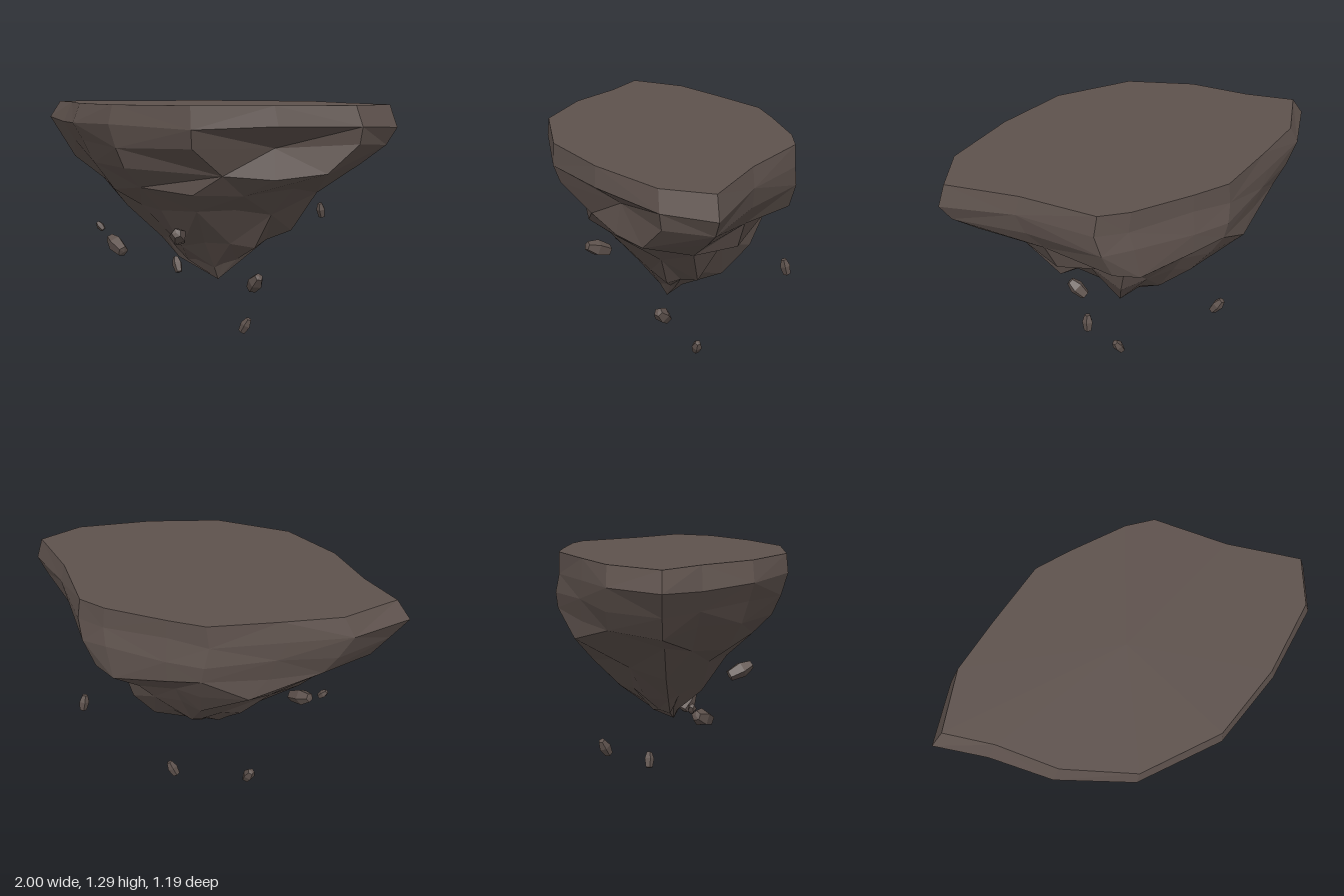
import * as THREE from 'three';

const rockMaterial = new THREE.MeshStandardMaterial({ color: 0x5e524d, flatShading: true, roughness: 1 });

// Widest outline of the island, [x, z], running left, front, right, back
const OUTLINE = [
  [-1, -0.03], [-0.8, 0.14], [-0.59, 0.38], [-0.27, 0.575], [0.17, 0.595],
  [0.54, 0.45], [0.88, 0.24], [1, 0.02], [0.72, -0.23], [0.47, -0.53],
  [0.32, -0.57], [0, -0.58], [-0.2, -0.575], [-0.52, -0.42], [-0.79, -0.28],
];

// Cross-sections from the top down: height, outline scale to each side, roughness of the edge
const SECTIONS = [
  { y: 1.29, left: 0.93, right: 0.96, front: 0.985, back: 0.98, rough: 0 },
  { y: 1.19, left: 1, right: 1, front: 1, back: 0.98, rough: 0.01 },
  { y: 1.09, left: 0.92, right: 0.95, front: 0.95, back: 1.02, rough: 0.01 },
  { y: 0.99, left: 0.84, right: 0.83, front: 0.88, back: 1.01, rough: 0.015 },
  { y: 0.86, left: 0.7, right: 0.61, front: 0.72, back: 0.84, rough: 0.02 },
  { y: 0.74, left: 0.5, right: 0.46, front: 0.5, back: 0.72, rough: 0.025 },
  { y: 0.56, left: 0.28, right: 0.34, front: 0.28, back: 0.48, rough: 0.02 },
  { y: 0.45, left: 0.17, right: 0.2, front: 0.08, back: 0.24, rough: 0.015 },
];
const TIP = [0.07, 0.34, 0.01];

// Main ledges and spikes: [section, column, dx, dy, dz]
const LEDGES = [
  [2, 5, -0.03, -0.01, -0.1], [2, 6, 0.03, 0.03, 0], // inner edge of the right-hand shelf
  [3, 4, 0.12, -0.05, -0.09], [3, 5, 0.05, -0.04, -0.04], [3, 6, 0, -0.02, 0.07], // its outer edge
  [3, 9, 0, -0.05, 0], [3, 10, 0.01, -0.06, -0.01], [4, 12, 0, 0.01, -0.03], [4, 13, 0, 0.04, -0.12], // back lip
  [4, 8, 0.1, -0.03, -0.03], [5, 7, 0, -0.1, -0.06], [5, 8, 0.04, 0, -0.03], [5, 9, 0.06, -0.02, 0], // right spike
  [4, 0, 0, 0.04, 0], [5, 0, 0, -0.05, 0], // left spike
  [5, 4, 0, 0.04, 0.02], [6, 9, 0.06, -0.03, 0], [7, 4, 0.03, -0.05, 0],
];

function makeIsland() {
  const rings = SECTIONS.map((s, r) => OUTLINE.map(([x, z], i) => [
    x * (x < 0 ? s.left : s.right),
    s.y + s.rough * Math.sin(i * 2.3 + r * 1.7),
    z * (z < 0 ? s.back : s.front),
  ]));
  for (const [ring, column, ...offset] of LEDGES) {
    offset.forEach((d, axis) => { rings[ring][column][axis] += d; });
  }
  const positions = [];
  const triangle = (a, b, c) => positions.push(...a, ...b, ...c);
  const n = OUTLINE.length;
  for (let i = 0; i < n; i++) {
    const j = (i + 1) % n;
    triangle([0, SECTIONS[0].y, 0], rings[0][i], rings[0][j]); // flat top
    for (let r = 0; r < rings.length - 1; r++) {
      const a = rings[r][i], b = rings[r + 1][i], c = rings[r + 1][j], d = rings[r][j];
      // alternate the diagonal for a chipped look
      if ((i + r) % 2) {
        triangle(a, b, c);
        triangle(a, c, d);
      } else {
        triangle(a, b, d);
        triangle(b, c, d);
      }
    }
    const last = rings[rings.length - 1];
    triangle(last[i], TIP, last[j]); // pointed underside
  }
  const geometry = new THREE.BufferGeometry();
  geometry.setAttribute('position', new THREE.Float32BufferAttribute(positions, 3));
  geometry.computeVertexNormals();
  const mesh = new THREE.Mesh(geometry, rockMaterial);
  mesh.name = 'islandRock';
  return mesh;
}

// Chipped five-sided stone stretched between two end points
function makeFragment(from, to, radius) {
  const start = new THREE.Vector3(...from), end = new THREE.Vector3(...to);
  const half = start.distanceTo(end) / 2;
  const profile = [[0, -1], [0.7, -0.9], [1, 0.15], [0.55, 0.95], [0, 1]]
    .map(([r, y]) => new THREE.Vector2(r * radius, y * half));
  const mesh = new THREE.Mesh(new THREE.LatheGeometry(profile, 5), rockMaterial);
  mesh.position.copy(start).add(end).multiplyScalar(0.5);
  mesh.quaternion.setFromUnitVectors(new THREE.Vector3(0, 1, 0), end.sub(start).normalize());
  mesh.name = 'rockFragment';
  return mesh;
}

export function createModel() {
  const group = new THREE.Group();
  group.name = 'floatingIsland';
  group.add(makeIsland());

  // Loose stones drifting below: lower end, upper end, radius
  group.add(
    makeFragment([-0.02, 0.605, 0.305], [0.02, 0.665, 0.435], 0.045),
    makeFragment([-0.41, 0.485, 0.19], [-0.535, 0.545, 0.12], 0.045),
    makeFragment([0.28, 0.318, 0.06], [0.345, 0.405, 0.125], 0.042),
    makeFragment([-0.315, 0.265, -0.32], [-0.355, 0.355, -0.355], 0.031),
    makeFragment([0.155, 0.005, -0.135], [0.2, 0.09, -0.135], 0.03),
    makeFragment([0.51, 0.63, -0.5], [0.5, 0.715, -0.48], 0.026),
    makeFragment([-0.585, 0.58, 0.1], [-0.625, 0.622, 0.1], 0.022),
  );
  return group;
}
